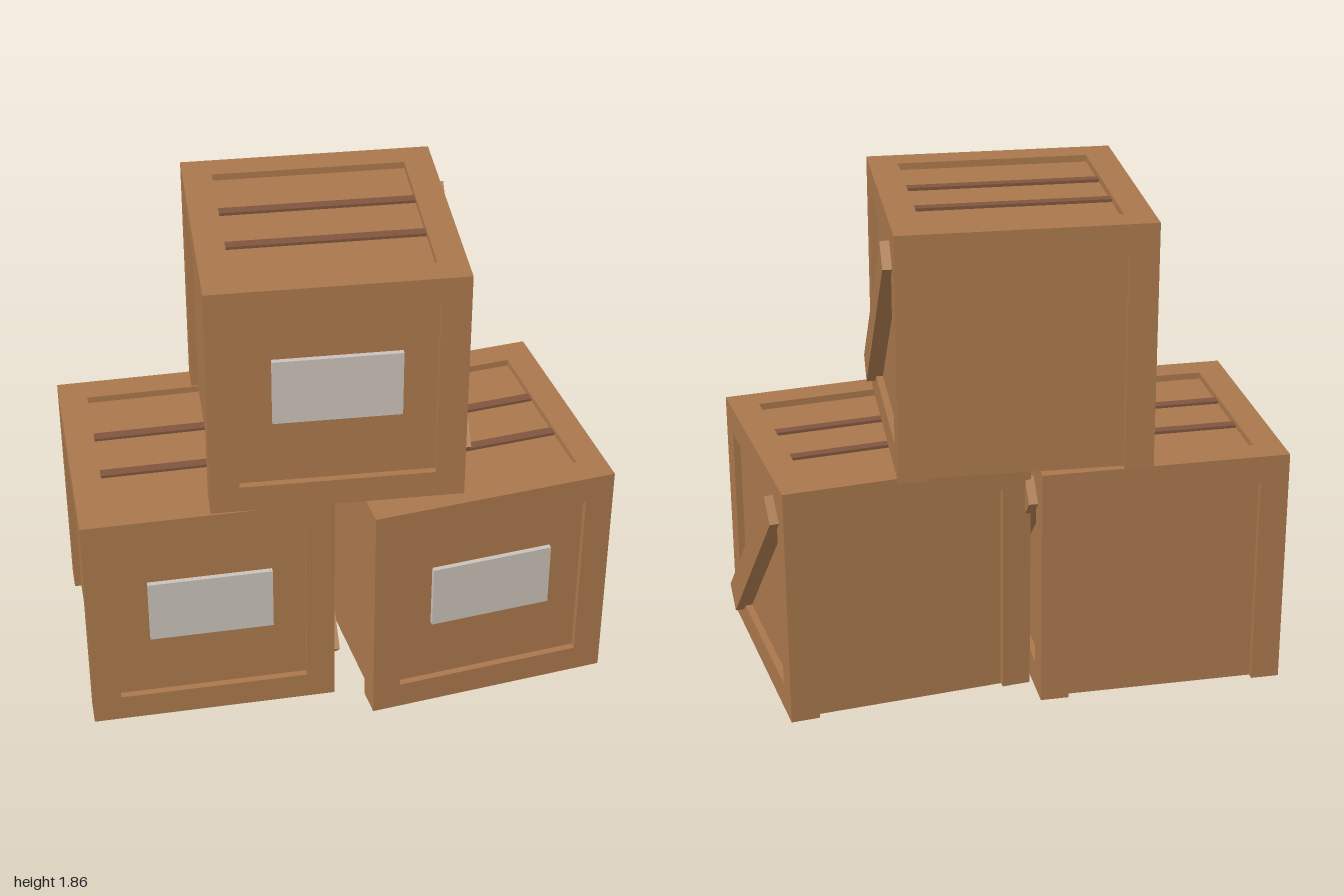
import * as THREE from 'three';

const S = 0.928;          // crate edge
const H = S / 2;
const F = 0.107;          // frame timber
const IN = S - 2 * F;     // opening between timbers
const R = 0.026;          // panel recess
const T = 0.02;           // panel thickness

export function createModel() {
  const material = (name, color) => {
    const m = new THREE.MeshStandardMaterial({ color });
    m.name = name;
    return m;
  };
  const wood = material('wood', 0xaa784c);
  const darkWood = material('dark wood', 0x80553e);
  const paper = material('label grey', 0xc9c1b9);

  const box = (parent, name, mat, size, pos) => {
    const mesh = new THREE.Mesh(new THREE.BoxGeometry(...size), mat);
    mesh.name = name;
    mesh.position.set(...pos);
    parent.add(mesh);
    return mesh;
  };

  function createCrate(name) {
    const g = new THREE.Group();
    g.name = name;
    const c = H - F / 2;             // timber centre line
    const p = H - R - T / 2;         // panel centre plane

    // Corner posts and top rails
    for (const a of [-1, 1]) {
      for (const b of [-1, 1]) box(g, 'cornerPost', wood, [F, S, F], [a * c, H, b * c]);
      box(g, 'topRail', wood, [IN, F, F], [0, S - F / 2, a * c]);
      box(g, 'topRail', wood, [F, F, IN], [a * c, S - F / 2, 0]);
    }
    // Bottom rails only on the front and the right-hand face
    box(g, 'bottomRail', wood, [IN, F, F], [0, F / 2, c]);
    box(g, 'bottomRail', wood, [F, F, IN], [c, F / 2, 0]);

    // Recessed side panels; back and left ones run down to the ground
    box(g, 'frontPanel', wood, [IN, IN, T], [0, H, p]);
    box(g, 'sidePanel', wood, [T, IN, IN], [p, H, 0]);
    const tall = S - F;
    box(g, 'backPanel', wood, [IN, tall, T], [0, tall / 2, -p]);
    box(g, 'sidePanel', wood, [T, tall, IN], [-p, tall / 2, 0]);

    // Lid with two dark battens
    box(g, 'lid', wood, [IN, T, IN], [0, S - R - T / 2, 0]);
    for (const s of [-1, 1]) {
      box(g, 'lidBatten', darkWood, [IN, 0.012, 0.038], [0, S - R + 0.005, s * 0.118]);
    }

    // Front label and diagonal brace
    box(g, 'label', paper, [0.465, 0.26, 0.02], [0, 0.5, H - R + 0.009]);
    const brace = box(g, 'diagonalBrace', wood, [0.06, 0.112, 1.0], [H + 0.004, H + 0.004, 0]);
    brace.rotation.x = Math.PI / 4;
    return g;
  }

  // Two crates on the ground, one stacked above
  const model = new THREE.Group();
  model.name = 'crateStack';
  const layout = [
    ['leftCrate', -0.513, 0, -0.072, -0.055],
    ['rightCrate', 0.475, 0, 0.063, 0.067],
    ['topCrate', -0.019, S + 0.001, -0.03, -0.1035],
  ];
  for (const [name, x, y, z, turn] of layout) {
    const crate = createCrate(name);
    crate.position.set(x, y, z);
    crate.rotation.y = turn;
    model.add(crate);
  }
  return model;
}
